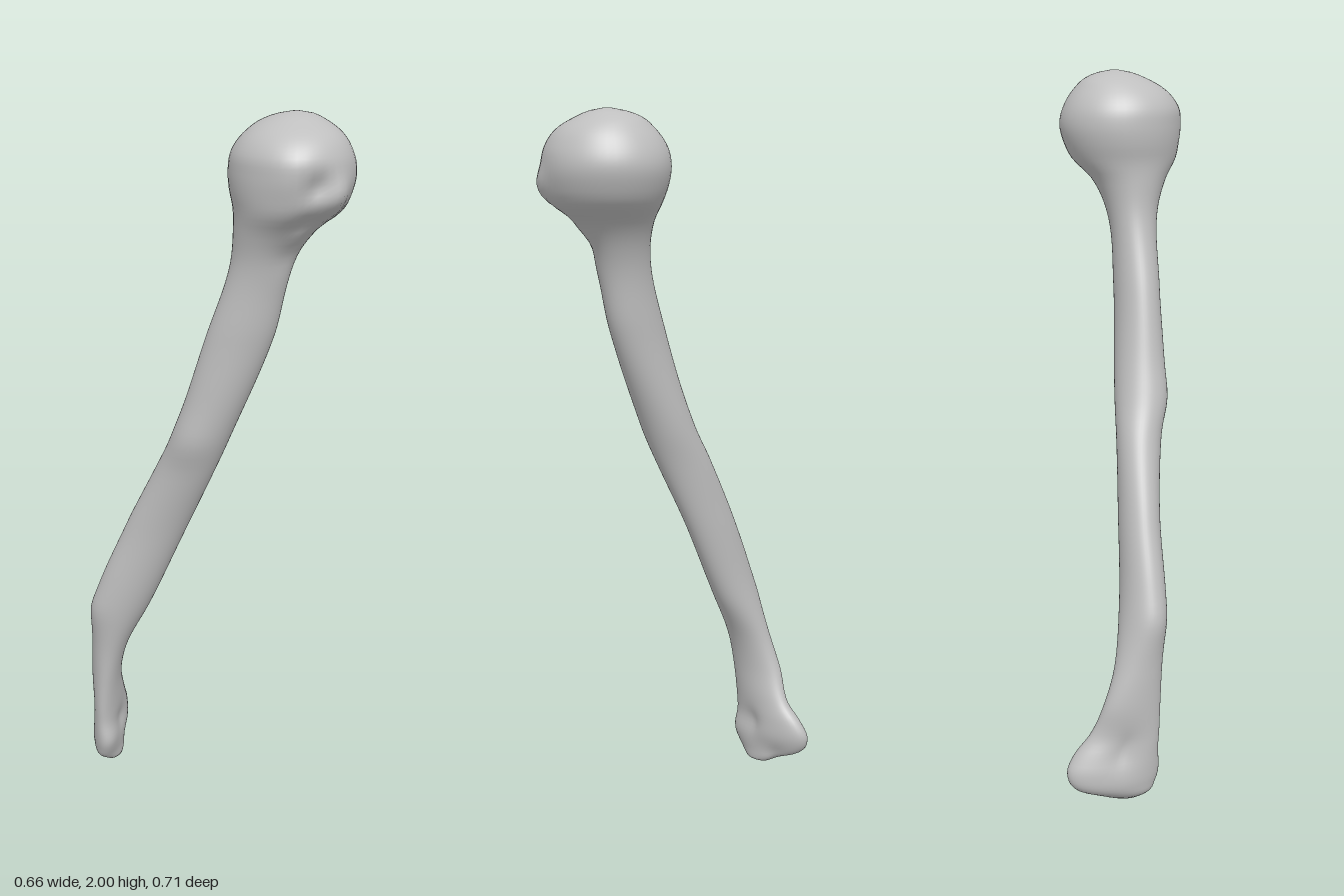
import * as THREE from 'three';

const SIDES = 48;
const RINGS = 110;

// Level cross-sections: height, x from/to, z from/to, skew of the ellipse
const SECTIONS = [
  [0.0, -0.285, -0.22, -0.23, -0.155, -0.5],
  [0.02, -0.312, -0.203, -0.275, -0.138, -0.6],
  [0.05, -0.32, -0.185, -0.335, -0.124, -0.65],
  [0.1, -0.324, -0.17, -0.355, -0.115, -0.67],
  [0.15, -0.325, -0.176, -0.33, -0.118, -0.69],
  [0.2, -0.325, -0.195, -0.29, -0.115, -0.66],
  [0.3, -0.325, -0.22, -0.26, -0.105, -0.44],
  [0.4, -0.325, -0.215, -0.225, -0.09, -0.18],
  [0.55, -0.325, -0.16, -0.18, -0.05, 0.2],
  [0.8, -0.24, -0.075, -0.115, 0.02, 0.38],
  [1.0, -0.165, -0.01, -0.055, 0.095, 0.28],
  [1.1, -0.135, 0.025, -0.02, 0.13, 0.13],
  [1.4, -0.055, 0.12, 0.055, 0.198, 0.3],
  [1.6, 0.0, 0.165, 0.08, 0.235, 0.18],
  [1.7, 0.002, 0.225, 0.06, 0.285, 0.05],
  [1.75, -0.002, 0.288, 0.03, 0.335, 0],
  [1.8, -0.01, 0.316, 0.01, 0.348, 0],
  [1.85, -0.012, 0.327, 0.002, 0.35, 0],
  [1.9, -0.004, 0.315, 0.013, 0.343, 0],
  [1.95, 0.035, 0.284, 0.048, 0.305, 0],
  [1.98, 0.085, 0.245, 0.085, 0.25, 0],
  [1.995, 0.13, 0.21, 0.13, 0.21, 0],
  [2.0, 0.16, 0.18, 0.16, 0.18, 0],
];

// Local swellings (+) and hollows (-): centre, radius, height
const RELIEF = [
  [0.2, 1.8, 0.335, 0.045, 0.022],     // lesser tubercle
  [0.09, 1.86, 0.33, 0.07, 0.012],     // greater tubercle
  [0.15, 1.82, 0.345, 0.035, -0.025],  // groove between the tubercles
  [0.145, 1.74, 0.31, 0.04, -0.025],
  [0.125, 1.64, 0.23, 0.05, -0.014],
  [-0.12, 1.1, 0.1, 0.07, 0.008],      // deltoid swelling
  [-0.33, 0.54, -0.13, 0.05, 0.006],   // outer crest
  [-0.25, 0.12, -0.17, 0.04, -0.022],  // front hollow above the joint
  [-0.31, 0.16, -0.24, 0.05, -0.018],  // rear hollow above the joint
  [-0.2, 0.03, -0.26, 0.03, -0.012],   // groove of the joint
  [-0.28, 0.08, -0.12, 0.035, 0.008],  // rounded outer condyle
];

function boneGeometry() {
  const spline = new THREE.CubicInterpolant(
    SECTIONS.map((s) => s[0]), SECTIONS.flatMap((s) => s.slice(1)), 5, new Float32Array(5));
  const positions = [];
  const indices = [];
  const p = new THREE.Vector3();
  const out = new THREE.Vector3();
  const spot = new THREE.Vector3();

  for (let j = 0; j <= RINGS; j++) {
    // rings crowd together towards both rounded ends
    const f = j / RINGS;
    const y = 0.35 * 2 * f + 0.65 * (1 - Math.cos(Math.PI * f));
    const [x0, x1, z0, z1, skew] = spline.evaluate(Math.min(y, 2));
    const cx = (x0 + x1) / 2, cz = (z0 + z1) / 2;
    const phase = Math.asin(skew);
    for (let i = 0; i < SIDES; i++) {
      const t = (i / SIDES) * Math.PI * 2;
      out.set((x1 - x0) / 2 * Math.cos(t), 0, (z1 - z0) / 2 * Math.sin(t + phase));
      p.set(cx, y, cz).add(out);
      out.normalize();
      let push = 0;
      for (const [x, h, z, r, amount] of RELIEF) {
        push += amount * Math.exp(-p.distanceToSquared(spot.set(x, h, z)) / (r * r));
      }
      p.addScaledVector(out, push);
      positions.push(p.x, p.y, p.z);
    }
  }

  // skin between rings, closed by a fan at each end
  const bottom = positions.length / 3;
  const top = bottom + 1;
  positions.push(-0.252, 0, -0.192, 0.17, 2, 0.17);
  for (let i = 0; i < SIDES; i++) {
    const n = (i + 1) % SIDES;
    for (let j = 0; j < RINGS; j++) {
      const a = j * SIDES, b = a + SIDES;
      indices.push(a + i, b + i, a + n, b + i, b + n, a + n);
    }
    const last = RINGS * SIDES;
    indices.push(bottom, i, n, top, last + n, last + i);
  }

  const geometry = new THREE.BufferGeometry();
  geometry.setAttribute('position', new THREE.Float32BufferAttribute(positions, 3));
  geometry.setIndex(indices);
  geometry.computeVertexNormals();
  return geometry;
}

export function createModel() {
  const group = new THREE.Group();
  group.name = 'upperArmBone';
  const boneGrey = new THREE.MeshStandardMaterial({ color: 0xbfbfbf });
  boneGrey.name = 'bone grey';
  const bone = new THREE.Mesh(boneGeometry(), boneGrey);
  bone.name = 'bone';
  group.add(bone);
  return group;
}
